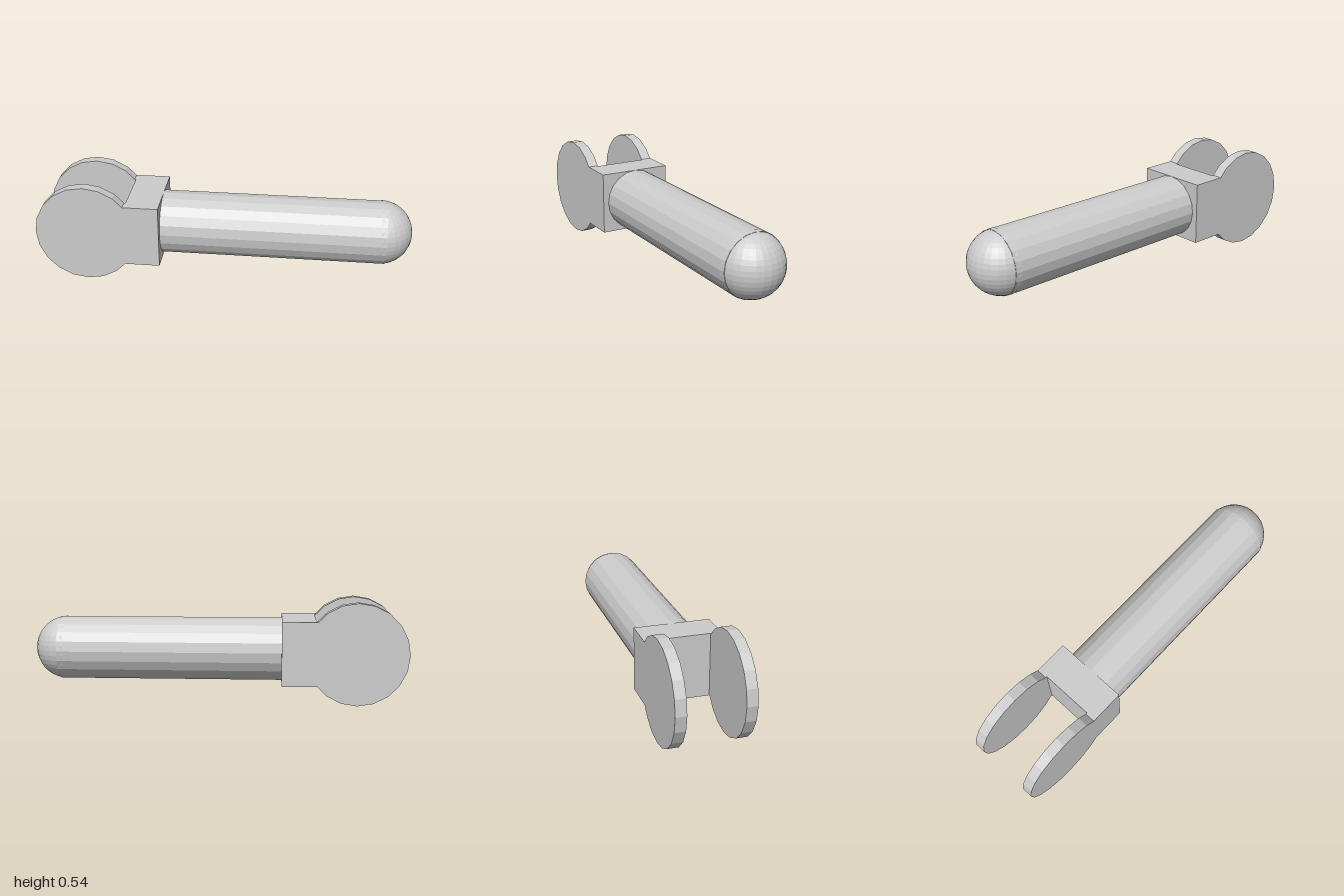
import * as THREE from 'three';

const MAT = new THREE.MeshStandardMaterial({ color: 0xcccccc, flatShading: true });
const AXIS_Y = 0.27; // height of the shaft axis and the disc centres
const SIDES = 20;

export function createModel() {
  const model = new THREE.Group();
  model.name = 'forkedRod';

  const add = (name, geometry, x, y, z) => {
    const mesh = new THREE.Mesh(geometry, MAT);
    mesh.name = name;
    mesh.position.set(x, y, z);
    model.add(mesh);
    return mesh;
  };

  // Fork cheeks: round plate running into the square block, one each side
  const discX = -0.73, discR = 0.27, half = 0.17, blockEnd = -0.335;
  const neck = 0.207; // where the disc edge meets the block's height
  const outline = [];
  for (let i = 3; i <= 17; i++) {
    const a = (i / SIDES) * Math.PI * 2;
    outline.push(new THREE.Vector2(Math.cos(a) * discR, Math.sin(a) * discR));
  }
  outline.push(
    new THREE.Vector2(neck, -half),
    new THREE.Vector2(blockEnd - discX, -half),
    new THREE.Vector2(blockEnd - discX, half),
    new THREE.Vector2(neck, half)
  );
  const thickness = 0.057;
  const cheek = new THREE.ExtrudeGeometry(new THREE.Shape(outline), { depth: thickness, bevelEnabled: false });
  add('leftCheek', cheek, discX, AXIS_Y, 0.2 - thickness);
  add('rightCheek', cheek, discX, AXIS_Y, -0.2);

  // Block joining the cheeks
  const blockStart = -0.515;
  add('forkBlock',
    new THREE.BoxGeometry(blockEnd - blockStart, half * 2, 2 * (0.2 - thickness)),
    (blockStart + blockEnd) / 2, AXIS_Y, 0);

  // Shaft, slightly overlapping the rounded tip
  const shaftEnd = 0.86;
  const shaft = new THREE.CylinderGeometry(half, half, shaftEnd - blockEnd, SIDES);
  shaft.rotateZ(-Math.PI / 2);
  add('shaft', shaft, (blockEnd + shaftEnd) / 2, AXIS_Y, 0);

  // Rounded tip with its poles upright, only the exposed half
  add('roundedTip',
    new THREE.SphereGeometry(half, 14, SIDES, Math.PI / 2, Math.PI),
    0.83, AXIS_Y, 0);

  return model;
}
